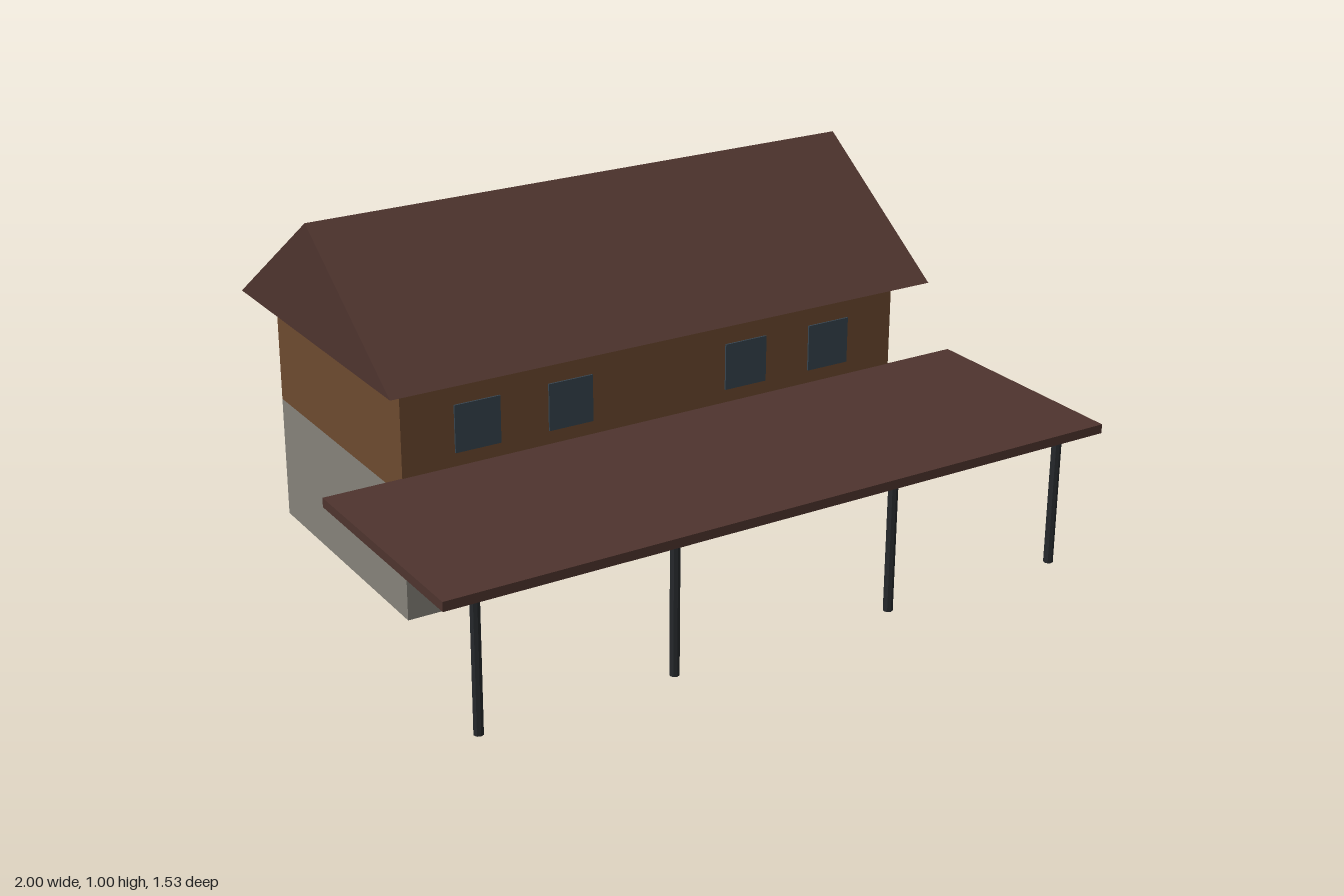
import * as THREE from 'three';

const mat = (color) => new THREE.MeshStandardMaterial({ color, flatShading: true });

export function createModel() {
  const house = new THREE.Group();
  house.name = 'house';
  const stone = mat(0x85827a), timber = mat(0x6d4a2f), roofing = mat(0x4e342e);
  const glass = mat(0x37444f), doorWood = mat(0x46301f), cream = mat(0xbdb59c), iron = mat(0x25282b);

  // Adds a box given its extents on each axis
  const box = (name, material, [x0, x1], [y0, y1], [z0, z1]) => {
    const mesh = new THREE.Mesh(new THREE.BoxGeometry(x1 - x0, y1 - y0, z1 - z0), material);
    mesh.position.set((x0 + x1) / 2, (y0 + y1) / 2, (z0 + z1) / 2);
    mesh.name = name;
    house.add(mesh);
  };

  // Two storeys
  const front = 0.102, back = -0.678;
  box('groundFloor', stone, [-0.778, 0.778], [0, 0.358], [back, front]);
  box('upperFloor', timber, [-0.778, 0.778], [0.358, 0.672], [back, front]);

  // Gable roof: triangle in z and y, extruded along x
  const gable = new THREE.Shape([
    new THREE.Vector2(-0.189, 0.67),
    new THREE.Vector2(0.767, 0.67),
    new THREE.Vector2(0.289, 1),
  ]);
  const roofGeometry = new THREE.ExtrudeGeometry(gable, { depth: 1.686, bevelEnabled: false });
  roofGeometry.translate(0, 0, -0.843).rotateY(Math.PI / 2);
  // The turn maps shape x to -z
  const roof = new THREE.Mesh(roofGeometry, roofing);
  roof.name = 'gableRoof';
  house.add(roof);

  // Door and the plain board above it
  box('door', doorWood, [-0.098, 0.098], [0, 0.293], [front - 0.005, 0.108]);
  box('boardOverDoor', cream, [-0.222, 0.222], [0.311, 0.355], [front - 0.005, 0.112]);

  // Windows, mirrored about the door
  for (const x of [-0.558, -0.279, 0.279, 0.558]) {
    const span = [x - 0.067, x + 0.067];
    box('lowerWindow', glass, span, [0.114, 0.282], [front - 0.005, 0.107]);
    box('upperWindow', glass, span, [0.447, 0.581], [front - 0.005, 0.107]);
  }

  // Porch canopy on slim posts
  box('porchCanopy', roofing, [-1, 1], [0.382, 0.408], [0.1, 0.767]);
  const postGeometry = new THREE.CylinderGeometry(0.0133, 0.0133, 0.384, 8);
  for (const x of [-0.89, -0.335, 0.335, 0.89]) {
    const post = new THREE.Mesh(postGeometry, iron);
    post.position.set(x, 0.192, 0.713);
    post.name = 'porchPost';
    house.add(post);
  }
  return house;
}
